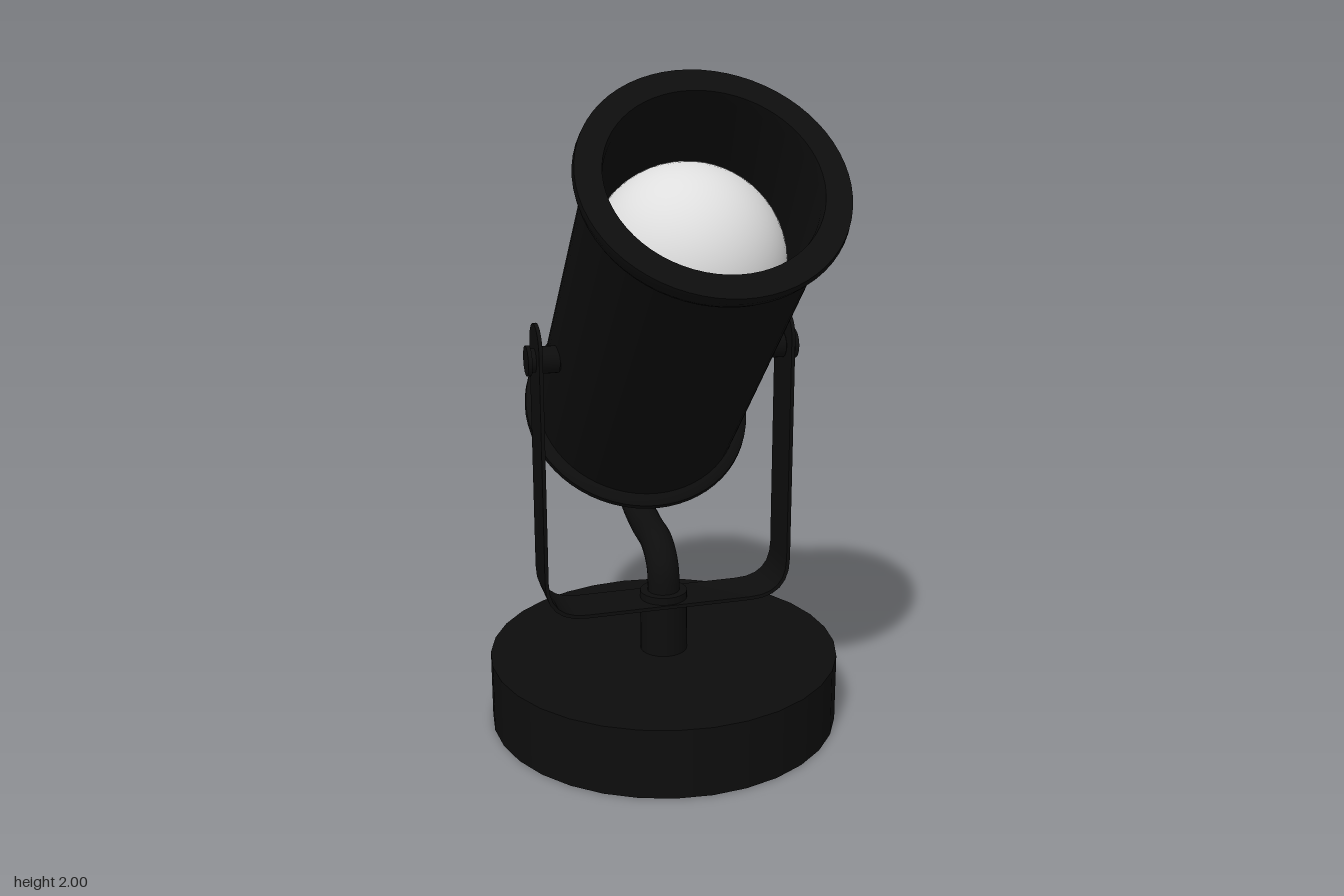
import * as THREE from 'three';
import { toCreasedNormals } from 'three/addons/utils/BufferGeometryUtils.js';

export function createModel() {
  const black = new THREE.MeshStandardMaterial({ color: 0x0d0d0d });
  black.name = 'black metal';
  const white = new THREE.MeshStandardMaterial({ color: 0xdedede });
  white.name = 'bulb white';

  const model = new THREE.Group();
  model.name = 'spotlight';
  const axisZ = -0.09; // the stand's centre line

  const add = (name, geometry, material, parent = model) => {
    const mesh = new THREE.Mesh(geometry, material);
    mesh.name = name;
    parent.add(mesh);
    return mesh;
  };

  // Base and post
  add('base', new THREE.CylinderGeometry(0.54, 0.54, 0.215, 32), black).position.set(0, 0.1075, axisZ);
  add('post', new THREE.CylinderGeometry(0.073, 0.073, 0.2, 24), black).position.set(0, 0.31, axisZ);

  // U-shaped strap: a thin outline swept across its width
  const outer = 0.386, t = 0.011, floor = 0.376, top = 1.202, width = 0.155, r = 0.125;
  const strapShape = new THREE.Shape();
  strapShape.moveTo(-outer, top);
  strapShape.lineTo(-outer, floor + r);
  strapShape.quadraticCurveTo(-outer, floor, -outer + r, floor);
  strapShape.lineTo(outer - r, floor);
  strapShape.quadraticCurveTo(outer, floor, outer, floor + r);
  strapShape.lineTo(outer, top);
  strapShape.lineTo(outer - t, top);
  strapShape.lineTo(outer - t, floor + r);
  strapShape.quadraticCurveTo(outer - t, floor + t, outer - r, floor + t);
  strapShape.lineTo(-outer + r, floor + t);
  strapShape.quadraticCurveTo(-outer + t, floor + t, -outer + t, floor + r);
  strapShape.lineTo(-outer + t, top);
  strapShape.closePath();
  const strap = new THREE.ExtrudeGeometry(strapShape, { depth: width, bevelEnabled: false, curveSegments: 6 });
  strap.translate(0, 0, axisZ - width / 2);
  add('strap', toCreasedNormals(strap, 0.6), black);

  // Rounded strap ends and pivot screws on both sides
  for (const side of [-1, 1]) {
    const disc = (name, radius, length, x, y) => {
      const mesh = add(name, new THREE.CylinderGeometry(radius, radius, length, 24), black);
      mesh.rotation.z = Math.PI / 2;
      mesh.position.set(side * x, y, axisZ);
    };
    disc('strapEnd', width / 2, t, outer - t / 2, top);
    disc('pivot', 0.035, 0.1, 0.353, 1.17);
    disc('pivotWasher', 0.04, 0.055, 0.345, 1.17);
    disc('screwHead', 0.045, 0.012, 0.405, 1.17);
  }

  // Tilted lamp head, turned about its own axis
  const head = new THREE.Group();
  head.name = 'lampHead';
  head.position.set(0, 0.6625, -0.6625);
  head.rotation.x = Math.PI / 4;
  model.add(head);

  const profile = [
    [0, 0.3], [0.316, 0.3], [0.345, 0.318], [0.36, 0.343], [0.358, 0.358], [0.342, 0.37], [0.324, 0.374],
    [0.324, 1.457], [0.345, 1.468], [0.356, 1.488], [0.364, 1.512], [0.361, 1.531],
    [0.29, 1.531], [0.285, 1.5], [0.285, 1.1], [0, 1.1],
  ].map(([x, y]) => new THREE.Vector2(x, y));
  add('housing', toCreasedNormals(new THREE.LatheGeometry(profile, 64), 0.7), black, head);
  add('bulb', new THREE.SphereGeometry(0.277, 48, 32), white, head).position.y = 1.158;

  // Cable from the post to the back of the head
  const path = new THREE.CatmullRomCurve3([
    [0.38, -0.09], [0.48, -0.1], [0.535, -0.165], [0.55, -0.3], [0.577, -0.43],
    [0.63, -0.52], [0.71, -0.555], [0.8, -0.53], [0.9, -0.455], [0.95, -0.41],
  ].map(([y, z]) => new THREE.Vector3(0, y, z)));
  add('cable', new THREE.TubeGeometry(path, 64, 0.05, 16), black);

  return model;
}
